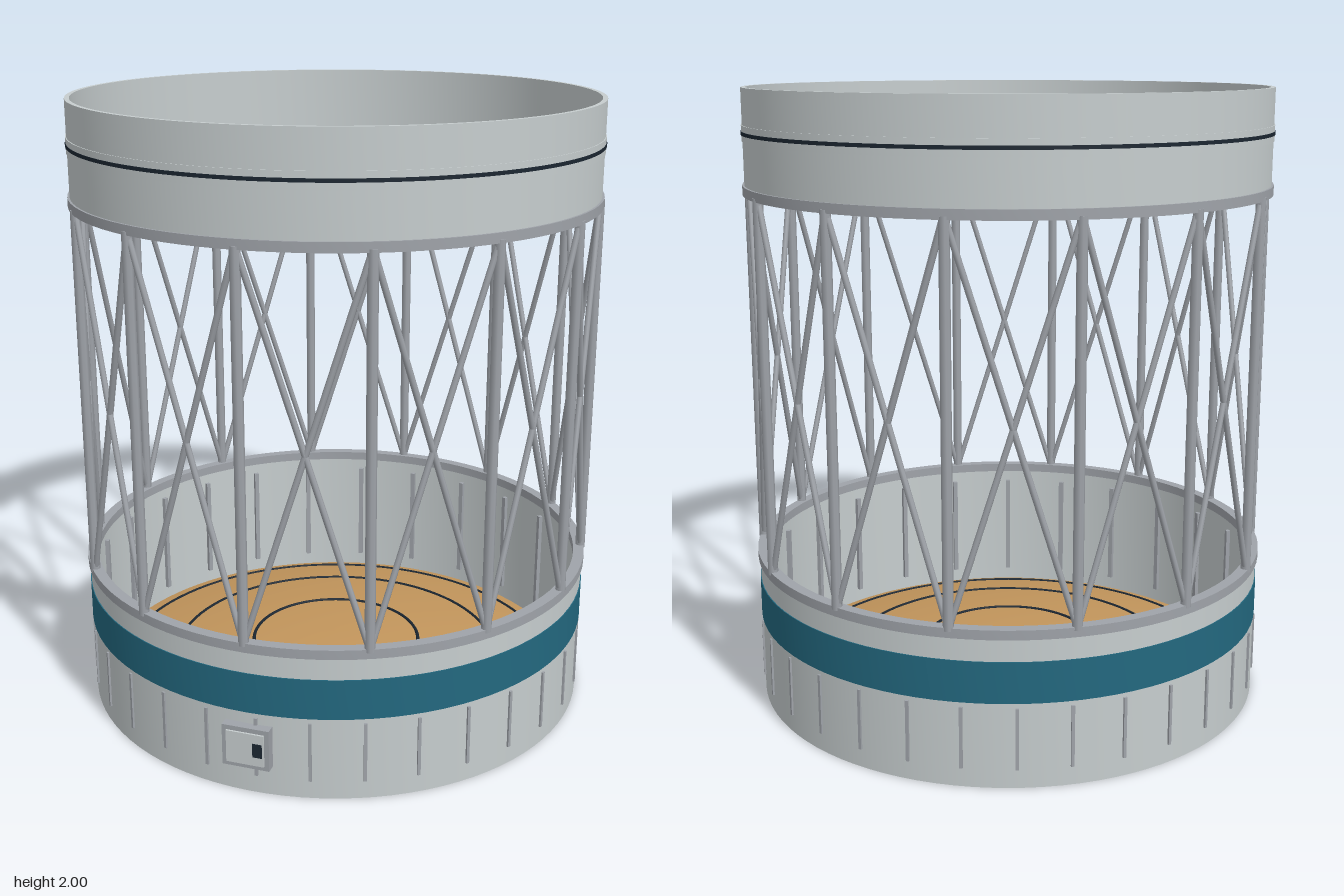
import * as THREE from 'three';
import { toCreasedNormals } from 'three/addons/utils/BufferGeometryUtils.js';

const mat = (name, color, side = THREE.FrontSide) => {
  const m = new THREE.MeshStandardMaterial({ color, side });
  m.name = name;
  return m;
};

export function createModel() {
  const root = new THREE.Group();
  root.name = 'interstage';

  const skin = mat('light grey skin', 0xc6cdce);
  const metal = mat('strut grey', 0x9fa3a9);
  const blue = mat('blue band', 0x23687f);
  const tan = mat('tan dome', 0xc3965c, THREE.DoubleSide);
  const dark = mat('dark seam', 0x1b2631);

  const add = (name, geometry, material, parent = root) => {
    const mesh = new THREE.Mesh(geometry, material);
    mesh.name = name;
    parent.add(mesh);
    return mesh;
  };

  // Rectangular-section hoop with crisp edges
  const hoop = (name, ri, ro, y0, y1, material) => {
    const profile = [[ri, y0], [ro, y0], [ro, y1], [ri, y1], [ri, y0]].map(p => new THREE.Vector2(...p));
    return add(name, toCreasedNormals(new THREE.LatheGeometry(profile, 96), 0.6), material);
  };

  // Round bar between two points
  const bar = (name, a, b, r, parent) => {
    const mesh = add(name, new THREE.CylinderGeometry(r, r, a.distanceTo(b), 8), metal, parent);
    mesh.position.copy(a).add(b).multiplyScalar(0.5);
    mesh.quaternion.setFromUnitVectors(new THREE.Vector3(0, 1, 0), b.clone().sub(a).normalize());
  };

  // Point on a circle, angle measured from +z towards +x
  const polar = (angle, r, y) => new THREE.Vector3(r * Math.sin(angle), y, r * Math.cos(angle));

  // Lower and upper skirts with flanges and bands
  hoop('lowerSkirt', 0.825, 0.84, 0, 0.48, skin);
  hoop('blueBand', 0.835, 0.843, 0.27, 0.4, blue);
  hoop('lowerFlange', 0.812, 0.847, 0.47, 0.5, metal);
  hoop('upperFlange', 0.812, 0.847, 1.67, 1.7, metal);
  hoop('upperSkirt', 0.825, 0.84, 1.69, 2, skin);
  hoop('separationBand', 0.835, 0.843, 1.836, 1.886, skin);
  hoop('separationSeam', 0.835, 0.845, 1.856, 1.867, dark);

  // Shallow dome floor with seam rings
  const domeY = r => 0.01 + 0.106 * (1 - (r / 0.826) ** 2);
  const domeProfile = Array.from({ length: 17 }, (_, i) => {
    const r = 0.826 * (1 - i / 16);
    return new THREE.Vector2(r, domeY(r));
  });
  add('domeFloor', new THREE.LatheGeometry(domeProfile, 96), tan);
  for (const r of [0.29, 0.56, 0.765]) {
    const seam = add('domeSeam', new THREE.TorusGeometry(r, 0.006, 6, 96), dark);
    seam.rotation.x = Math.PI / 2;
    seam.position.y = domeY(r);
  }

  // Truss: uprights and crossed diagonals
  const truss = new THREE.Group();
  truss.name = 'truss';
  root.add(truss);
  const bays = 14, R = 0.836, step = Math.PI * 2 / bays;
  for (let i = 0; i < bays; i++) {
    const a = (i + 0.5) * step, b = a + step;
    bar('upright', polar(a, R, 0.49), polar(a, R, 1.68), 0.016, truss);
    bar('diagonal', polar(a, R, 0.49), polar(b, R, 1.68), 0.0095, truss);
    bar('diagonal', polar(b, R, 0.49), polar(a, R, 1.68), 0.0095, truss);
  }

  // Stringers outside and inside the lower skirt
  const stringers = (name, count, r, w, d, y0, y1) => {
    const geometry = new THREE.BoxGeometry(w, y1 - y0, d);
    for (let i = 0; i < count; i++) {
      const a = (i + 0.5) * Math.PI * 2 / count;
      const mesh = add(name, geometry, metal);
      mesh.position.copy(polar(a, r, (y0 + y1) / 2));
      mesh.rotation.y = a;
    }
  };
  stringers('outerStringer', 32, 0.84, 0.01, 0.012, 0.06, 0.255);
  stringers('innerStringer', 24, 0.82, 0.016, 0.018, 0.06, 0.43);

  // Access box with raised cover and dark slot
  const box = new THREE.Group();
  box.name = 'accessBox';
  const angle = THREE.MathUtils.degToRad(-63.5);
  box.position.copy(polar(angle, 0.85, 0.165));
  box.rotation.y = angle;
  root.add(box);
  add('boxBody', new THREE.BoxGeometry(0.15, 0.135, 0.036), metal, box);
  add('boxCover', new THREE.BoxGeometry(0.12, 0.105, 0.008), skin, box).position.z = 0.02;
  add('boxSlot', new THREE.BoxGeometry(0.03, 0.045, 0.006), dark, box).position.set(0.04, 0, 0.023);

  return root;
}
